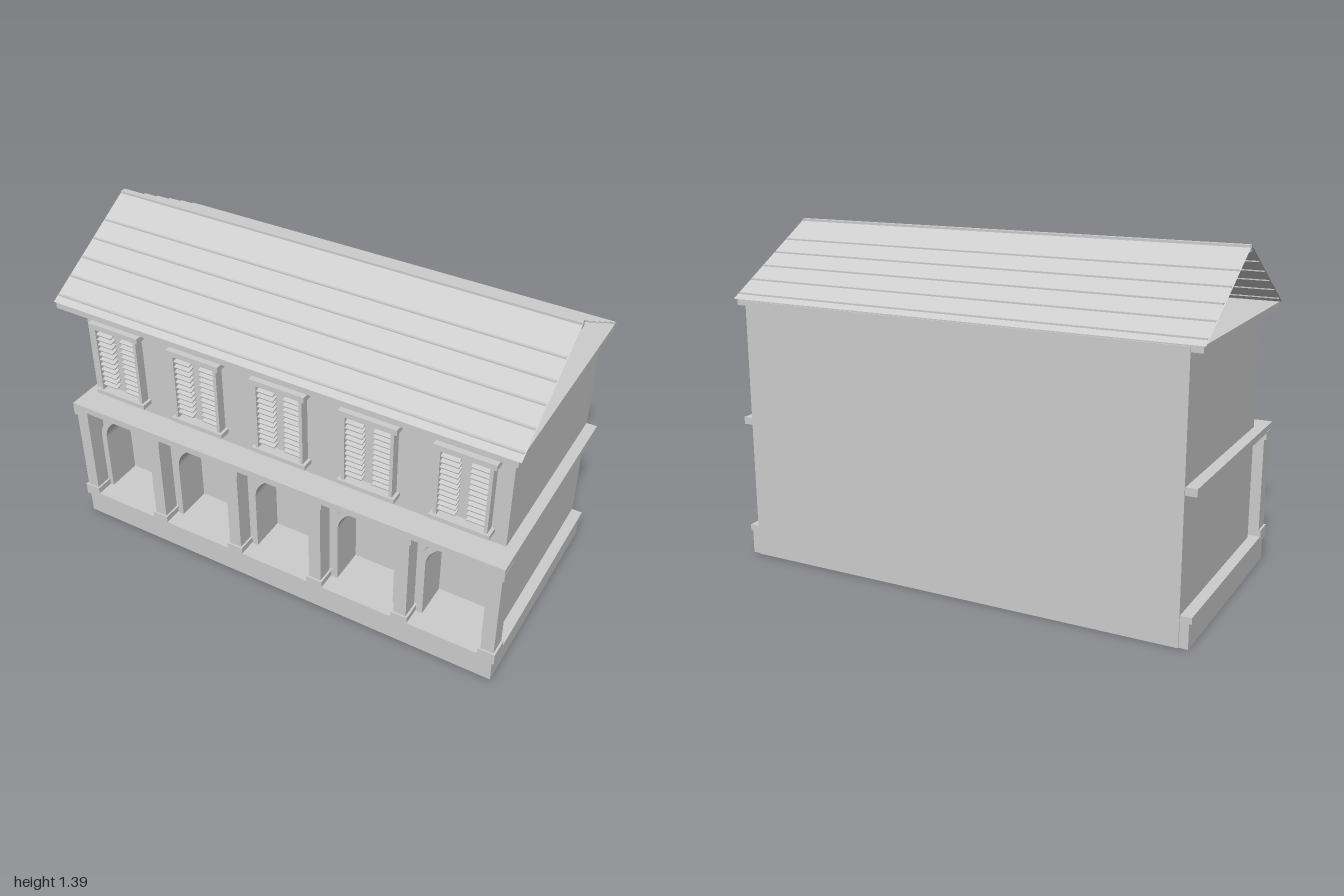
import * as THREE from 'three';

const stone = new THREE.MeshStandardMaterial({ color: 0xcccccc });
stone.name = 'plain grey';
stone.side = THREE.DoubleSide;

const BAYS = [-2, -1, 0, 1, 2].map(i => i * 0.387);
const SPRING = 0.392; // height where the arches start to curve
const FLOOR = 0.125;  // bottom of the arches

// Box given by its limits on each axis
function box(parent, name, x0, x1, y0, y1, z0, z1) {
  const mesh = new THREE.Mesh(new THREE.BoxGeometry(x1 - x0, y1 - y0, z1 - z0), stone);
  mesh.position.set((x0 + x1) / 2, (y0 + y1) / 2, (z0 + z1) / 2);
  mesh.name = name;
  parent.add(mesh);
  return mesh;
}

// Round-topped outline centred on x
function archOutline(path, x, r) {
  path.moveTo(x - r, FLOOR);
  path.lineTo(x + r, FLOOR);
  path.lineTo(x + r, SPRING);
  path.absarc(x, SPRING, r, 0, Math.PI, false);
  path.lineTo(x - r, FLOOR);
  return path;
}

function extrude(parent, name, shape, z0, z1) {
  const geo = new THREE.ExtrudeGeometry(shape, { depth: z1 - z0, bevelEnabled: false, curveSegments: 20 });
  const mesh = new THREE.Mesh(geo, stone);
  mesh.position.z = z0;
  mesh.name = name;
  parent.add(mesh);
}

function addWalls(g) {
  box(g, 'mainBody', -0.945, 0.945, 0, 1.1, -0.48, 0.25);
  box(g, 'upperFrontWall', -0.945, 0.945, 0.59, 1.09, 0.25, 0.37);
  box(g, 'plinth', -0.98, 0.98, 0, 0.1, -0.475, 0.475);
  box(g, 'plinthCap', -0.99, 0.99, 0.1, FLOOR, -0.475, 0.483);
  box(g, 'floorBand', -0.99, 0.99, 0.575, 0.605, -0.475, 0.483);
  box(g, 'eavesSlab', -0.99, 0.99, 1.08, 1.106, -0.475, 0.483);

  // Ground floor front wall with arched recesses
  const wall = new THREE.Shape();
  wall.moveTo(-0.945, 0.1);
  wall.lineTo(0.945, 0.1);
  wall.lineTo(0.945, 0.59);
  wall.lineTo(-0.945, 0.59);
  wall.closePath();
  for (const x of BAYS) {
    const hole = new THREE.Path();
    hole.moveTo(x - 0.128, FLOOR);
    hole.lineTo(x - 0.128, SPRING);
    hole.absarc(x, SPRING, 0.128, Math.PI, 0, true);
    hole.lineTo(x + 0.128, FLOOR);
    hole.closePath();
    wall.holes.push(hole);
  }
  extrude(g, 'arcadeWall', wall, 0.25, 0.37);
}

function addArcade(g) {
  // Raised arch surrounds
  for (const x of BAYS) {
    const s = new THREE.Shape();
    s.moveTo(x + 0.128, FLOOR);
    s.lineTo(x + 0.154, FLOOR);
    s.lineTo(x + 0.154, SPRING);
    s.absarc(x, SPRING, 0.154, 0, Math.PI, false);
    s.lineTo(x - 0.154, FLOOR);
    s.lineTo(x - 0.128, FLOOR);
    s.lineTo(x - 0.128, SPRING);
    s.absarc(x, SPRING, 0.128, Math.PI, 0, true);
    s.closePath();
    extrude(g, 'archSurround', s, 0.365, 0.405);
  }
  // Columns between and beside the arches
  for (let i = 0; i < 6; i++) {
    const x = (i - 2.5) * 0.387;
    const c = Math.sign(x) * Math.min(Math.abs(x), 0.955);
    box(g, 'column', c - 0.027, c + 0.027, 0.15, 0.55, 0.4, 0.475);
    box(g, 'columnBase', c - 0.036, c + 0.036, 0.1, 0.153, 0.4, 0.483);
    box(g, 'columnCapital', c - 0.036, c + 0.036, 0.547, 0.58, 0.4, 0.483);
  }
}

function addWindow(g, x) {
  const w = new THREE.Group();
  w.name = 'shutteredWindow';
  w.position.x = x;
  box(w, 'shutterBack', -0.105, 0.105, 0.67, 0.985, 0.365, 0.382);
  box(w, 'windowHead', -0.122, 0.122, 0.98, 1.004, 0.372, 0.42);
  box(w, 'windowSill', -0.122, 0.122, 0.657, 0.677, 0.372, 0.424);
  for (const side of [-1, 1]) {
    const c = side * 0.102;
    box(w, 'windowJamb', c - 0.007, c + 0.007, 0.675, 0.982, 0.375, 0.415);
    // Slanted slats
    for (let i = 0; i < 11; i++) {
      const m = side * 0.06, y = 0.705 + i * 0.0248;
      const slat = box(w, 'slat', m - 0.038, m + 0.038, y - 0.003, y + 0.003, 0.379, 0.411);
      slat.rotation.x = 0.25;
    }
  }
  g.add(w);
}

function addRoof(g) {
  const top = 1.387, slope = 0.577, edge = 0.485;
  for (const side of [-1, 1]) {
    // Thin roof sheet
    const geo = new THREE.PlaneGeometry(2, 1);
    const p = geo.attributes.position;
    for (let i = 0; i < p.count; i++) {
      const z = p.getY(i) > 0 ? 0 : edge;
      p.setXYZ(i, p.getX(i), top - z * slope, z);
    }
    geo.computeVertexNormals();
    const sheet = new THREE.Mesh(geo, stone);
    sheet.name = 'roofSlope';
    if (side < 0) sheet.rotation.y = Math.PI;
    g.add(sheet);
    // Battens across the slope
    for (let i = 0; i < 5; i++) {
      const z = side * (0.13 + i * 0.081), y = top + 0.001 - Math.abs(z) * slope;
      box(g, 'roofBatten', -0.995, 0.995, y - 0.003, y + 0.003, z - 0.005, z + 0.005);
    }
  }
  box(g, 'ridge', -0.998, 0.998, 1.363, 1.389, -0.013, 0.013);
}

export function createModel() {
  const g = new THREE.Group();
  g.name = 'arcadedHouse';
  addWalls(g);
  addArcade(g);
  for (const x of BAYS) addWindow(g, x);
  addRoof(g);
  return g;
}
